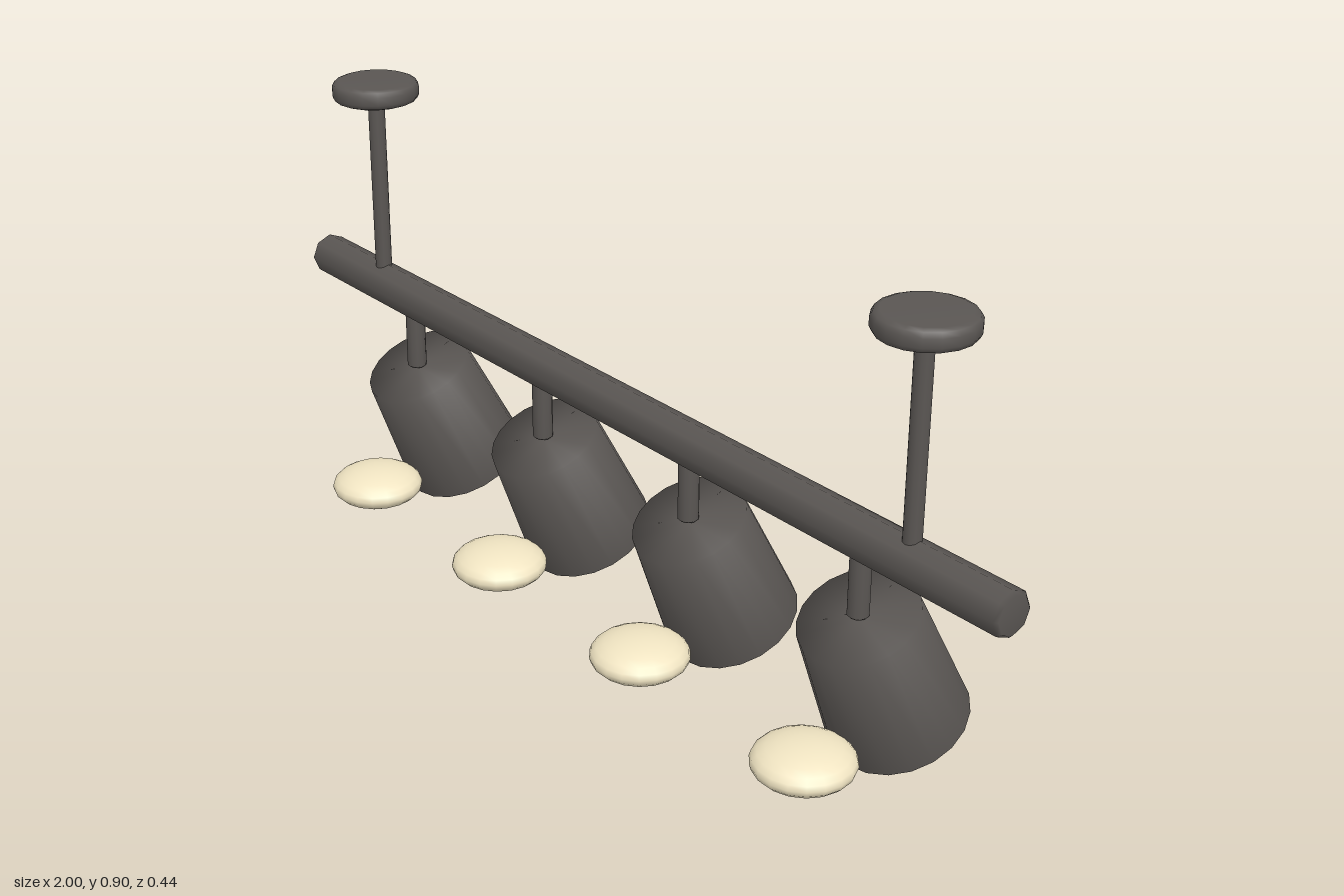
import * as THREE from 'three';

const metal = new THREE.MeshStandardMaterial({ color: 0x5a5653 });
const glow = new THREE.MeshStandardMaterial({ color: 0xf0e4c2 });
const AXIS_Z = 0.013; // depth of the rail and rods

// Solid of revolution from [radius, height] pairs, listed bottom to top
function lathe(name, points, sides) {
  const profile = points.map(([r, y]) => new THREE.Vector2(r, y));
  const mesh = new THREE.Mesh(new THREE.LatheGeometry(profile, sides), metal);
  mesh.name = name;
  return mesh;
}

// Closed round bar with a small bevel at both ends
function bar(name, radius, y0, y1, bevel, sides) {
  return lathe(name, [
    [0, y0], [radius - bevel, y0], [radius, y0 + bevel],
    [radius, y1 - bevel], [radius - bevel, y1], [0, y1],
  ], sides);
}

// Ceiling rod with its rounded canopy
function createHanger(x) {
  const hanger = new THREE.Group();
  hanger.name = 'hanger';
  hanger.position.set(x, 0, AXIS_Z);
  hanger.add(bar('rod', 0.017, 0.46, 0.87, 0.003, 12));
  hanger.add(lathe('canopy', [
    [0, 0.858], [0.074, 0.858], [0.084, 0.862], [0.089, 0.871],
    [0.089, 0.887], [0.084, 0.896], [0.074, 0.9], [0, 0.9],
  ], 18));
  return hanger;
}

// Spotlight: stem, tilted tapered shade and flattened light disc
function createSpot(x) {
  const spot = new THREE.Group();
  spot.name = 'spotlight';
  spot.position.x = x;

  const stem = bar('stem', 0.02, 0.302, 0.45, 0.004, 12);
  stem.position.z = AXIS_Z;

  const shade = lathe('shade', [
    [0, -0.277], [0.116, -0.277], [0.131, -0.266], [0.111, 0], [0, 0],
  ], 20);
  shade.position.set(0, 0.2985, 0.011);
  shade.rotation.x = 0.432;

  const disc = new THREE.Mesh(new THREE.SphereGeometry(0.095, 18, 12), glow);
  disc.name = 'lightDisc';
  disc.scale.y = 0.41;
  disc.position.set(0, 0.057, 0.126);

  spot.add(stem, shade, disc);
  return spot;
}

export function createModel() {
  const model = new THREE.Group();
  model.name = 'trackLight';

  // Horizontal rail
  const rail = bar('rail', 0.043, -1, 1, 0.007, 8);
  rail.rotation.z = Math.PI / 2;
  rail.position.set(0, 0.457, AXIS_Z);
  model.add(rail);

  for (const x of [-0.777, 0.777]) model.add(createHanger(x));
  for (let i = 0; i < 4; i++) model.add(createSpot((i - 1.5) * 0.443));
  return model;
}
